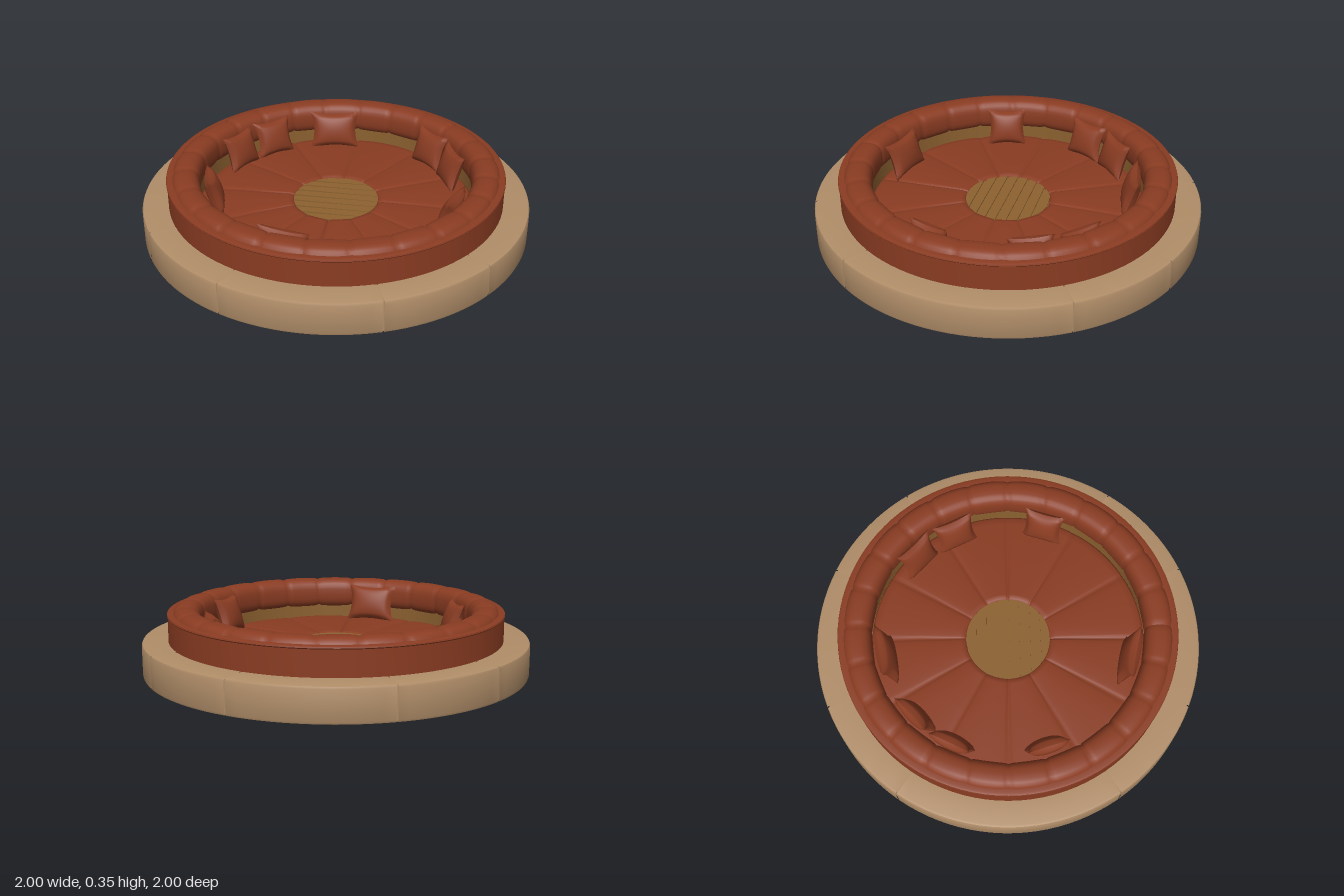
import * as THREE from 'three';
import { mergeGeometries, toCreasedNormals } from 'three/addons/utils/BufferGeometryUtils.js';

const stone = new THREE.MeshStandardMaterial({ name: 'stone', color: 0xb08d68 });
const leather = new THREE.MeshStandardMaterial({ name: 'rust leather', color: 0x8a3c22 });
const wood = new THREE.MeshStandardMaterial({ name: 'wood', color: 0x8c6130 });
const TAU = Math.PI * 2;

function add(parent, name, geometry, material) {
  const mesh = new THREE.Mesh(geometry, material);
  mesh.name = name;
  parent.add(mesh);
  return mesh;
}

// Grid surface from a rule f(u, v) -> [x, y, z], u and v in 0..1
function surface(nu, nv, f) {
  const pos = [], index = [];
  for (let i = 0; i <= nu; i++) for (let j = 0; j <= nv; j++) pos.push(...f(i / nu, j / nv));
  for (let i = 0; i < nu; i++) for (let j = 0; j < nv; j++) {
    const a = i * (nv + 1) + j, b = a + nv + 1;
    index.push(a, b, a + 1, b + 1, a + 1, b);
  }
  const g = new THREE.BufferGeometry();
  g.setAttribute('position', new THREE.Float32BufferAttribute(pos, 3));
  g.setIndex(index);
  g.computeVertexNormals();
  return g;
}

function lathe(profile, segments = 96, start = 0, length = TAU) {
  const pts = profile.map(([r, y]) => new THREE.Vector2(r, y));
  return toCreasedNormals(new THREE.LatheGeometry(pts, segments, start, length), 0.5);
}

const around = (r, y, t) => [Math.sin(t) * r, y, Math.cos(t) * r];
// 1 in the middle of each padded section, 0 in the seams
const puff = (t, count) => Math.pow(Math.abs(Math.sin(t * count / 2)), 0.3);

// Square cushion with pinched, pointed corners
function pillowGeometry(w, h, d) {
  const front = surface(14, 14, (u, v) => {
    const a = u * 2 - 1, b = v * 2 - 1;
    const fill = Math.pow((1 - a * a) * (1 - b * b), 0.4);
    return [
      a * w / 2 * (1 - 0.16 * (1 - b * b)),
      b * h / 2 * (1 - 0.16 * (1 - a * a)),
      d / 2 * fill,
    ];
  });
  return mergeGeometries([front, front.clone().rotateY(Math.PI)]);
}

export function createModel() {
  const model = new THREE.Group();
  model.name = 'sunkenRoundSofa';

  // Stone plinth: core with separate rim blocks
  add(model, 'plinthCore', lathe([[0, 0.003], [0.988, 0.003], [0.988, 0.17], [0.86, 0.17]]), stone);
  const rim = new THREE.Group();
  rim.name = 'stoneRim';
  model.add(rim);
  const seams = [-22.5, 22.5, 56, 124, 157.5, 202.5, 236, 304, 337.5];
  const gap = 0.006;
  for (let i = 0; i < seams.length - 1; i++) {
    const s = THREE.MathUtils.degToRad(seams[i]), e = THREE.MathUtils.degToRad(seams[i + 1]);
    add(rim, 'rimBlock', lathe(
      [[0.86, 0], [0.985, 0], [0.996, 0.004], [1, 0.014], [1, 0.163], [0.996, 0.172], [0.985, 0.176], [0.86, 0.176]],
      Math.round((e - s) * 18), s + gap / 2, e - s - gap), stone);
  }

  // Outer leather drum with a piped lip
  add(model, 'sofaDrum', lathe([[0.866, 0.17], [0.866, 0.305], [0.87, 0.31], [0.868, 0.317],
    [0.858, 0.321], [0.82, 0.318], [0.82, 0.22]]), leather);

  // Wooden pit lining
  add(model, 'pitLining', lathe([[0.8, 0.23], [0.725, 0.23], [0.725, 0.1], [0, 0.1]]), wood);

  // Padded ring backrest
  add(model, 'backrest', surface(288, 28, (u, v) => {
    const t = u * TAU, p = v * TAU, k = 0.9 + 0.1 * puff(t, 24);
    const c = Math.cos(p), s = Math.sin(p);
    const round = (n) => Math.sign(n) * Math.pow(Math.abs(n), 0.75);
    return around(0.773 + 0.075 * k * round(c), 0.265 + 0.085 * k * round(s), t);
  }), leather);

  // Seat of wedge-shaped pads
  const seat = [[0.72, 0.1], [0.718, 0.122], [0.705, 0.135], [0.67, 0.14], [0.45, 0.146],
    [0.25, 0.148], [0.226, 0.143], [0.218, 0.13], [0.218, 0.1]];
  add(model, 'seatPads', surface(288, seat.length - 1, (u, v) => {
    const t = u * TAU, [r, y] = seat[Math.round(v * (seat.length - 1))];
    return around(r, 0.1 + (y - 0.1) * (0.75 + 0.25 * puff(t, 12)), t);
  }), leather);

  // Round plank table in the middle
  const table = new THREE.Group();
  table.name = 'plankTable';
  model.add(table);
  const R = 0.221, planks = 8, step = 2 * R / planks;
  const disc = add(table, 'tableBase', new THREE.CylinderGeometry(R, R, 0.03, 48), wood);
  disc.position.y = 0.117;
  for (let i = 0; i < planks; i++) {
    const z0 = -R + i * step + 0.002, z1 = z0 + step - 0.004;
    const shape = new THREE.Shape();
    for (let j = 0; j <= 12; j++) {
      const z = z0 + (z1 - z0) * (j % 7 <= 6 && j < 7 ? j / 6 : (12 - j) / 6);
      const x = Math.sqrt(R * R - z * z) * (j < 7 ? 1 : -1);
      j ? shape.lineTo(x, z) : shape.moveTo(x, z);
    }
    const g = new THREE.ExtrudeGeometry(shape, { depth: 0.008, bevelEnabled: false });
    add(table, 'plank', g.rotateX(-Math.PI / 2), wood).position.y = 0.131;
  }

  // Loose pillows leaning on the backrest: x, z, width
  const pillows = [[-0.12, -0.625, 0.28], [-0.44, -0.465, 0.23], [-0.58, -0.28, 0.23], [0.44, -0.475, 0.23],
    [0.57, -0.28, 0.23], [0.61, 0.19, 0.22], [-0.6, 0.19, 0.22], [-0.13, 0.625, 0.28]];
  for (const [x, z, w] of pillows) {
    const m = add(model, 'pillow', pillowGeometry(w, 0.21, 0.085), leather);
    m.position.set(x, 0.23, z);
    m.rotation.set(-0.3, Math.atan2(x, z) + Math.PI, 0, 'YXZ');
  }
  return model;
}
